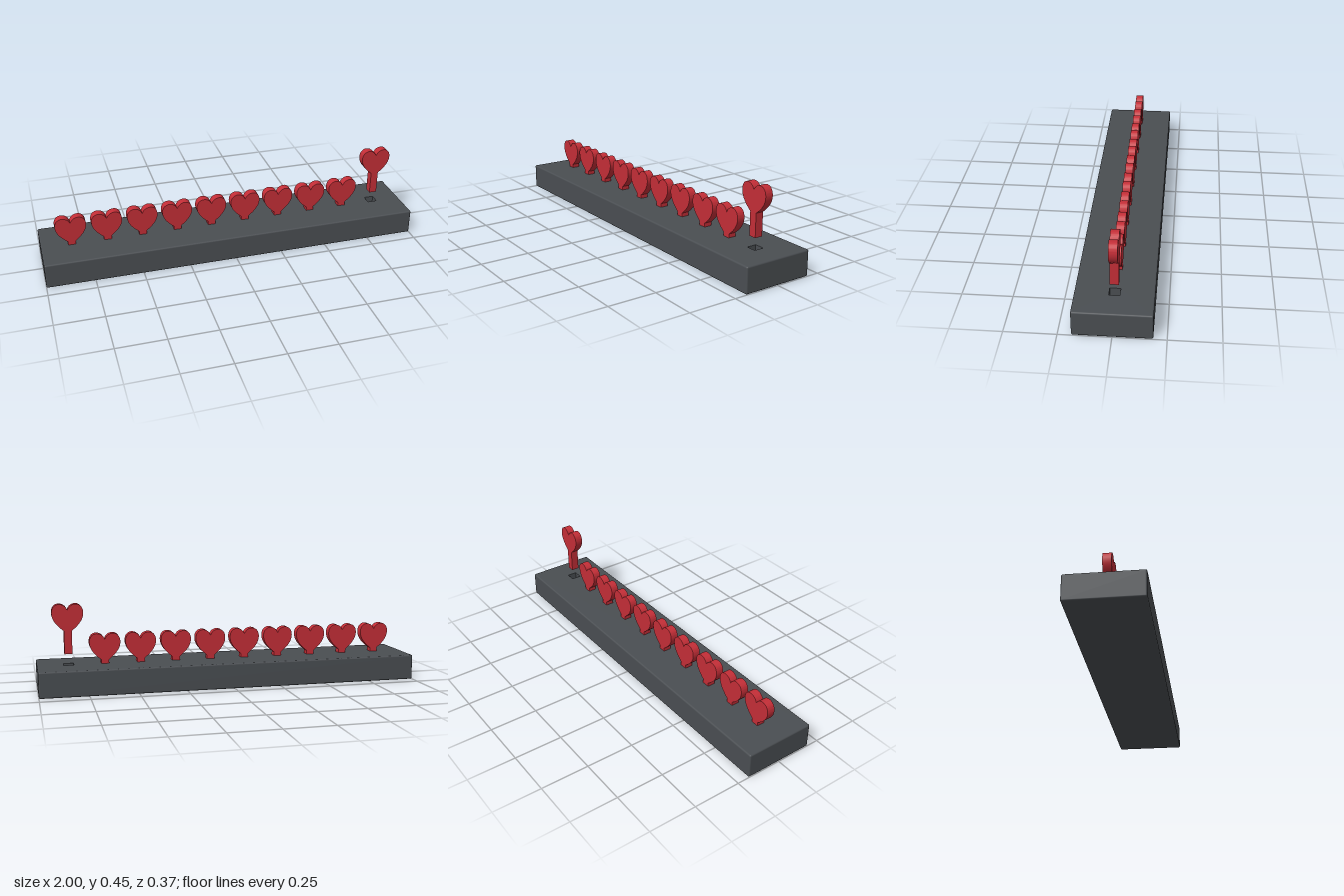
import * as THREE from 'three';
import { mergeGeometries, toCreasedNormals } from 'three/addons/utils/BufferGeometryUtils.js';
import { RoundedBoxGeometry } from 'three/addons/geometries/RoundedBoxGeometry.js';

const W = 2, H = 0.133, D = 0.374, R = 0.008;
const COUNT = 10, SPACING = 0.1866, DEPTH = 0.042;
const HOLE = 0.052, HOLE_DEPTH = 0.1;
const pegX = (i) => (i - (COUNT - 1) / 2) * SPACING;

function rect(target, cx, w, h) {
  target.moveTo(cx - w / 2, -h / 2);
  target.lineTo(cx + w / 2, -h / 2);
  target.lineTo(cx + w / 2, h / 2);
  target.lineTo(cx - w / 2, h / 2);
  target.closePath();
  return target;
}

// Rounded block without the flat part of its top
function openBlock() {
  const box = new RoundedBoxGeometry(W, H, D, 3, R);
  const geo = box.index ? box.toNonIndexed() : box;
  geo.translate(0, H / 2, 0);
  const p = geo.attributes.position;
  const keep = [];
  for (let i = 0; i < p.count; i += 3) {
    const flatTop = [0, 1, 2].every((k) => p.getY(i + k) > H - 1e-5);
    if (!flatTop) keep.push(i, i + 1, i + 2);
  }
  geo.clearGroups();
  geo.setIndex(keep);
  return geo.toNonIndexed();
}

// Flat top with the empty socket cut out
function topFace(x) {
  const shape = rect(new THREE.Shape(), 0, W - 2 * R, D - 2 * R);
  shape.holes.push(rect(new THREE.Path(), x, HOLE, HOLE));
  return new THREE.ShapeGeometry(shape).rotateX(-Math.PI / 2).translate(0, H, 0).toNonIndexed();
}

// Socket lining: a box without its top face
function socket(x) {
  const geo = new THREE.BoxGeometry(HOLE, HOLE_DEPTH, HOLE);
  const index = Array.from(geo.index.array);
  index.splice(12, 6);
  geo.setIndex(index);
  geo.clearGroups();
  return geo.translate(x, H - HOLE_DEPTH / 2, 0);
}

// Heart on a square stem, with the top of the lobes at y = 0
function heartPeg() {
  const s = new THREE.Shape();
  s.moveTo(-0.02, -0.257);
  s.lineTo(0.02, -0.257);
  s.lineTo(0.02, -0.137);
  s.bezierCurveTo(0.052, -0.112, 0.08, -0.082, 0.08, -0.046);
  s.bezierCurveTo(0.08, -0.016, 0.063, 0, 0.042, 0);
  s.bezierCurveTo(0.022, 0, 0.007, -0.012, 0, -0.031);
  s.bezierCurveTo(-0.007, -0.012, -0.022, 0, -0.042, 0);
  s.bezierCurveTo(-0.063, 0, -0.08, -0.016, -0.08, -0.046);
  s.bezierCurveTo(-0.08, -0.082, -0.052, -0.112, -0.02, -0.137);
  s.closePath();
  const geo = new THREE.ExtrudeGeometry(s, { depth: DEPTH, bevelEnabled: false, curveSegments: 12 });
  return toCreasedNormals(geo.translate(0, 0, -DEPTH / 2), 0.6);
}

export function createModel() {
  const model = new THREE.Group();
  model.name = 'heartPegRack';
  const red = new THREE.MeshStandardMaterial({ color: 0xc42e37 });
  red.name = 'heart red';
  const grey = new THREE.MeshStandardMaterial({ color: 0x4a4e52 });
  grey.name = 'slate grey';
  const lining = new THREE.MeshStandardMaterial({ color: 0x4a4e52, side: THREE.BackSide });
  lining.name = 'slate grey lining';

  // Base block with the open socket under the lifted peg
  const lastX = pegX(COUNT - 1);
  const base = new THREE.Mesh(mergeGeometries([openBlock(), topFace(lastX)]), grey);
  base.name = 'base';
  const hole = new THREE.Mesh(socket(lastX), lining);
  hole.name = 'socket';
  model.add(base, hole);

  // Row of pegs, the last one lifted out
  const geo = heartPeg();
  for (let i = 0; i < COUNT; i++) {
    const lifted = i === COUNT - 1;
    const peg = new THREE.Mesh(geo, red);
    peg.name = lifted ? 'liftedHeartPeg' : `heartPeg${i + 1}`;
    peg.position.set(pegX(i), lifted ? 0.447 : 0.29, 0);
    model.add(peg);
  }
  return model;
}
